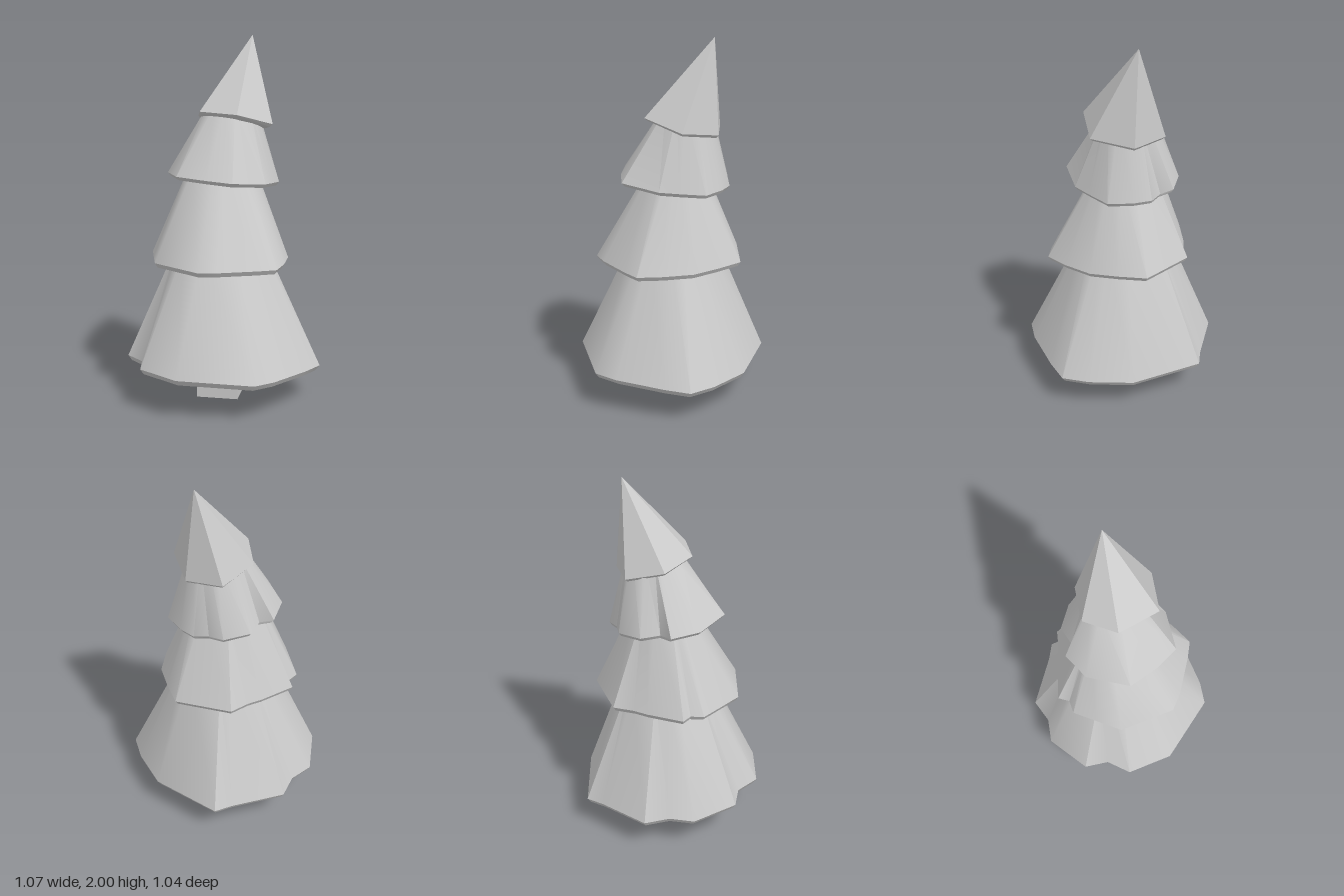
import * as THREE from 'three';
import { toCreasedNormals } from 'three/addons/utils/BufferGeometryUtils.js';

const material = new THREE.MeshStandardMaterial({ color: 0xcccccc, side: THREE.DoubleSide });

// Skin a stack of equal-length rings; a ring may collapse to a single point.
function loft(rings) {
  const pos = [];
  const tri = (a, b, c) => {
    const n = new THREE.Triangle(a, b, c);
    if (n.getArea() > 1e-8) for (const p of [a, b, c]) pos.push(p.x, p.y, p.z);
  };
  for (let r = 0; r + 1 < rings.length; r++) {
    const lo = rings[r], up = rings[r + 1], count = lo.length;
    for (let i = 0; i < count; i++) {
      const j = (i + 1) % count;
      tri(lo[i], up[i], up[j]);
      tri(lo[i], up[j], lo[j]);
    }
  }
  const geo = new THREE.BufferGeometry();
  geo.setAttribute('position', new THREE.Float32BufferAttribute(pos, 3));
  return toCreasedNormals(geo, 0.75);
}

// One foliage skirt: ragged tilted rim, rolled-under hem, narrow elliptical top.
function tier({ outline, rim, hem, inset, top }) {
  const [y0, ax, az] = rim;
  const [tx, ty, tz, rx, rz] = top;
  const rimRing = outline.map(([x, z]) => new THREE.Vector3(x, y0 + ax * x + az * z, z));
  const centre = rimRing.reduce((s, p) => s.add(p), new THREE.Vector3()).divideScalar(rimRing.length);
  const hemRing = rimRing.map((p) => new THREE.Vector3(
    centre.x + (p.x - centre.x) * inset, p.y - hem, centre.z + (p.z - centre.z) * inset));
  const topRing = rimRing.map((p) => {
    const a = Math.atan2(p.z - centre.z, p.x - centre.x);
    return new THREE.Vector3(tx + rx * Math.cos(a), ty, tz + rz * Math.sin(a));
  });
  const all = (x, y, z) => rimRing.map(() => new THREE.Vector3(x, y, z));
  return loft([all(centre.x, centre.y - hem, centre.z), hemRing, rimRing, topRing, all(tx, ty, tz)]);
}

// Rim outlines as [x, z], running from the back round by the model's left.
const tiers = {
  bottomTier: {
    outline: [[-0.03, -0.52], [0.33, -0.32], [0.47, -0.12], [0.53, 0.02], [0.47, 0.15], [0.33, 0.39],
      [0.24, 0.49], [-0.17, 0.52], [-0.4, 0.385], [-0.43, 0.24], [-0.535, 0.15], [-0.535, -0.12],
      [-0.44, -0.22], [-0.4, -0.355], [-0.12, -0.47]],
    rim: [0.205, -0.03, 0.03], hem: 0.03, inset: 0.96, top: [-0.03, 0.85, 0, 0.25, 0.24],
  },
  lowerMiddleTier: {
    outline: [[-0.1, -0.375], [0.21, -0.32], [0.28, -0.18], [0.34, -0.035], [0.34, 0.13], [0.32, 0.27],
      [0.23, 0.32], [0.03, 0.41], [-0.07, 0.435], [-0.34, 0.275], [-0.385, 0.13], [-0.425, 0],
      [-0.385, -0.06], [-0.41, -0.12], [-0.255, -0.25], [-0.185, -0.295]],
    rim: [0.79, -0.015, -0.015], hem: 0.025, inset: 0.96, top: [-0.03, 1.28, -0.015, 0.187, 0.155],
  },
  upperMiddleTier: {
    outline: [[-0.05, -0.305], [0.03, -0.275], [0.11, -0.277], [0.19, -0.215], [0.275, -0.11], [0.255, 0.03],
      [0.235, 0.135], [0.09, 0.31], [-0.055, 0.295], [-0.225, 0.245], [-0.325, 0.03], [-0.295, -0.13],
      [-0.22, -0.15], [-0.185, -0.25]],
    rim: [1.225, -0.08, 0.06], hem: 0.02, inset: 0.95, top: [0.02, 1.62, -0.06, 0.135, 0.13],
  },
  topTier: {
    outline: [[-0.04, -0.255], [0.16, -0.2], [0.255, 0.015], [0.09, 0.185], [-0.13, 0.095], [-0.18, -0.1]],
    rim: [1.555, -0.13, 0.22], hem: 0.015, inset: 0.93, top: [0.11, 2, -0.185, 0, 0],
  },
};

export function createModel() {
  const tree = new THREE.Group();
  tree.name = 'tree';

  // Square trunk
  const trunk = new THREE.Mesh(new THREE.BoxGeometry(0.23, 0.22, 0.23), material);
  trunk.name = 'trunk';
  trunk.position.set(-0.03, 0.11, 0.015);
  tree.add(trunk);

  // Leaning stack of foliage
  for (const [name, spec] of Object.entries(tiers)) {
    const mesh = new THREE.Mesh(tier(spec), material);
    mesh.name = name;
    tree.add(mesh);
  }
  return tree;
}
